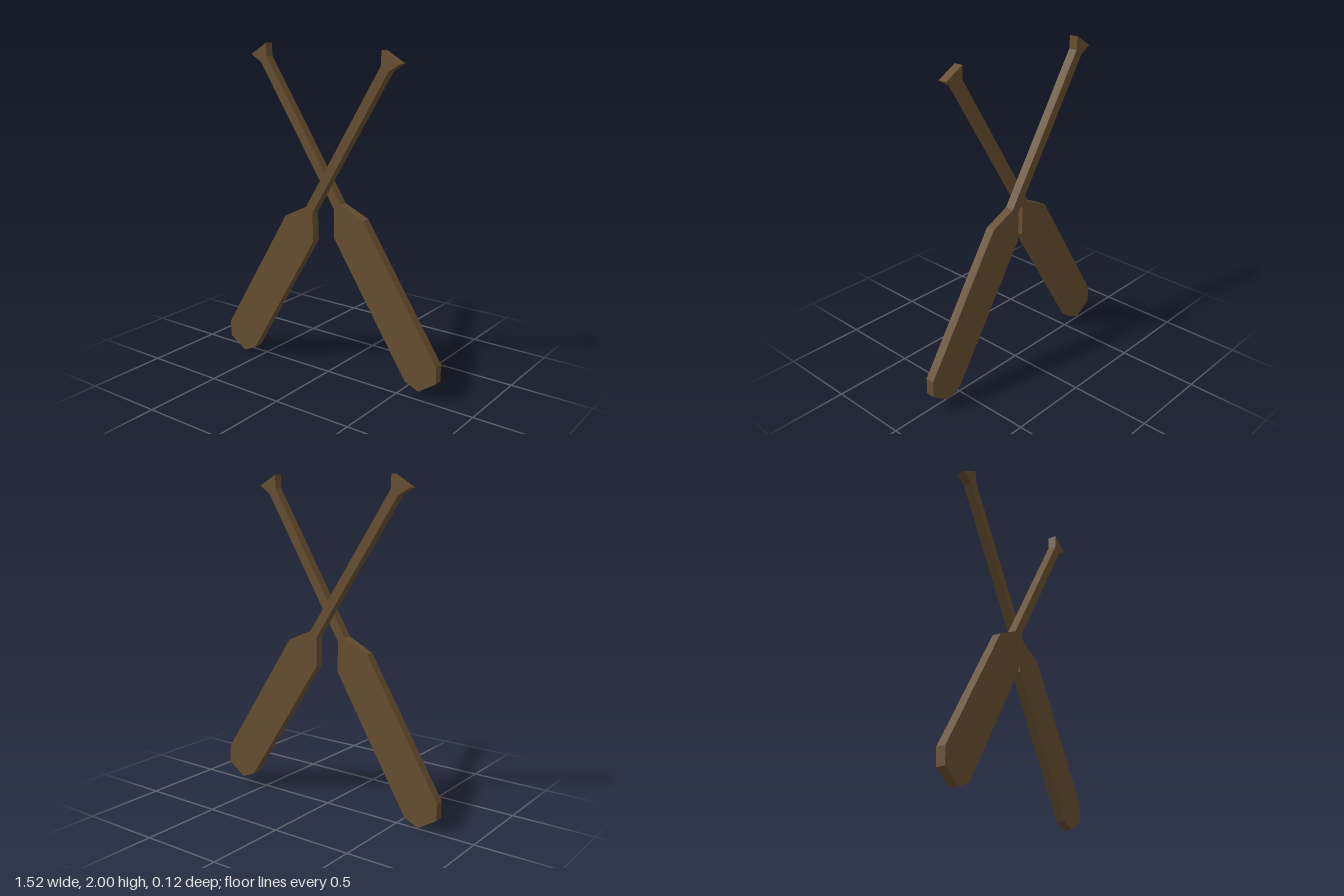
import * as THREE from 'three';

// Flat paddle outline: blade at lower left, shaft and flared grip at upper right
const OUTLINE = [
  [-0.76, 0.18], [-0.757, 0.077], [-0.64, 0.003], [-0.55, 0.045], // blade tip
  [-0.067, 0.847], [-0.072, 1.025],                               // inner shoulder
  [0.443, 1.877], [0.515, 1.923], [0.396, 1.99], [0.396, 1.91],   // grip
  [-0.12, 1.055], [-0.278, 0.977],                                // outer shoulder
];
const THICKNESS = 0.055;
const GAP = 0.005; // half the space between the two paddles

export function createModel() {
  const wood = new THREE.MeshStandardMaterial({ color: 0x664d30 });
  wood.name = 'brownWood';

  const shape = new THREE.Shape(OUTLINE.map(([x, y]) => new THREE.Vector2(x, y)));
  const geometry = new THREE.ExtrudeGeometry(shape, { depth: THICKNESS, bevelEnabled: false });
  geometry.translate(0, 0, GAP);

  const frontPaddle = new THREE.Mesh(geometry, wood);
  frontPaddle.name = 'frontPaddle';

  // The same paddle turned around to cross behind, leaning slightly further
  const backPaddle = new THREE.Mesh(geometry, wood);
  backPaddle.name = 'backPaddle';
  backPaddle.rotation.set(0, Math.PI, 0.0375, 'ZYX');
  backPaddle.position.set(0.004, 0.025, 0);

  const model = new THREE.Group();
  model.name = 'crossedPaddles';
  model.add(frontPaddle, backPaddle);
  return model;
}
